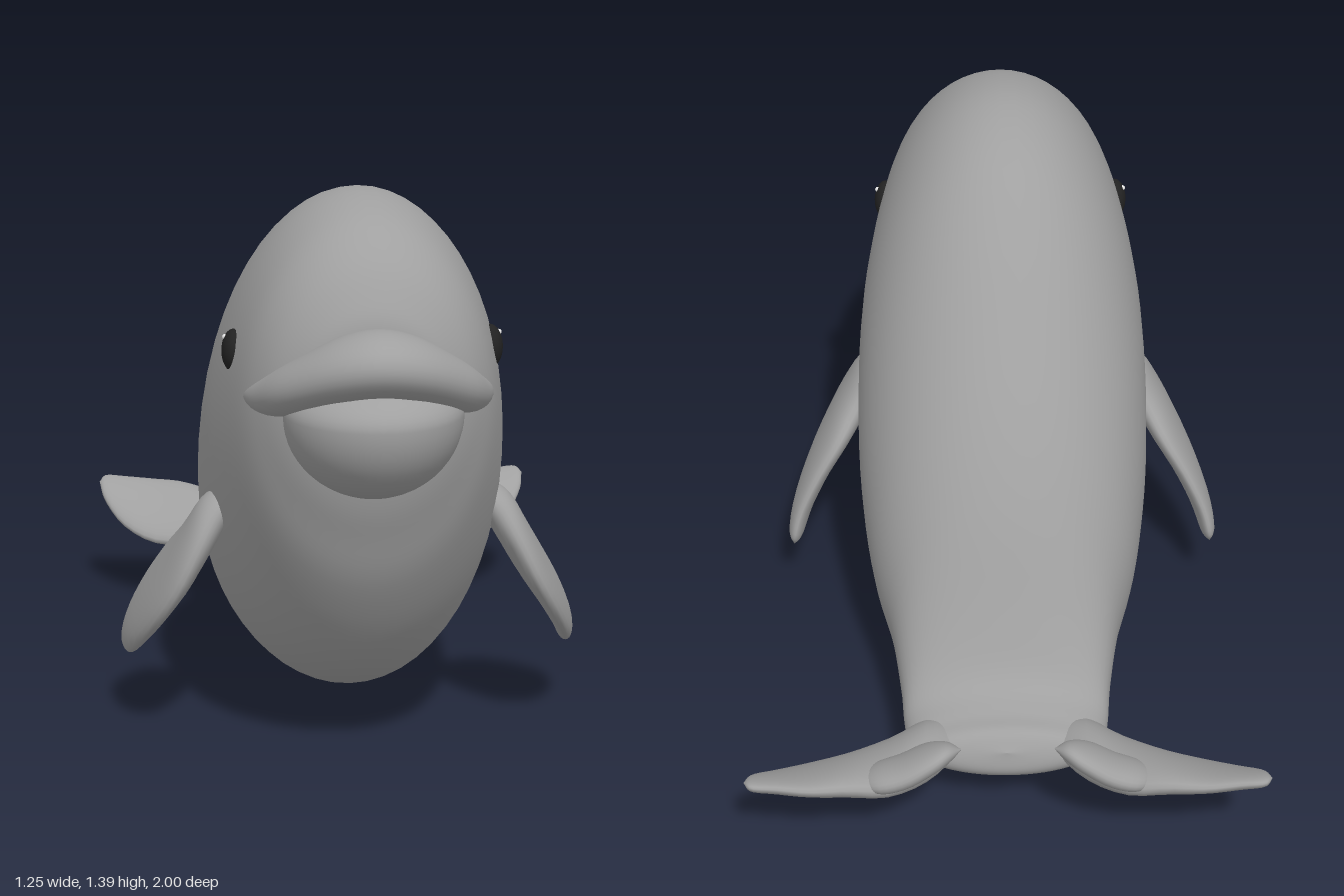
import * as THREE from 'three';

const skin = new THREE.MeshStandardMaterial({ color: 0xa0a0a0 });
skin.name = 'greySkin';
const black = new THREE.MeshStandardMaterial({ color: 0x222222 });
black.name = 'eyeBlack';
const white = new THREE.MeshStandardMaterial({ color: 0xf0f0f0 });
white.name = 'eyeGlint';

const V = (x, y, z) => new THREE.Vector3(x, y, z);

// Smooth closed loft. Each section is an oval: two opposite edge points,
// a half thickness, and the direction of that thickness.
function loft(name, sections, rows = 40, cols = 32) {
  const spline = f => new THREE.CatmullRomCurve3(sections.map(f), false, 'catmullrom', 0.5);
  const ca = spline(s => s.a), cb = spline(s => s.b);
  const cn = spline(s => s.n.clone().normalize().multiplyScalar(s.w));
  const pos = [], idx = [];
  for (let i = 0; i <= rows; i++) {
    const t = 0.5 - 0.5 * Math.cos(Math.PI * i / rows);
    const a = ca.getPoint(t), b = cb.getPoint(t), n = cn.getPoint(t);
    const c = a.clone().add(b).multiplyScalar(0.5);
    const h = a.clone().sub(c);
    for (let j = 0; j < cols; j++) {
      const u = 2 * Math.PI * j / cols;
      pos.push(...c.clone().addScaledVector(h, Math.cos(u)).addScaledVector(n, Math.sin(u)).toArray());
    }
  }
  for (let i = 0; i < rows; i++) {
    for (let j = 0; j < cols; j++) {
      const p = i * cols + j, q = i * cols + (j + 1) % cols;
      idx.push(p, q, p + cols, q, q + cols, p + cols);
    }
  }
  // Turn the faces outward if the enclosed volume comes out negative
  const at = k => V(pos[3 * k], pos[3 * k + 1], pos[3 * k + 2]);
  let volume = 0;
  for (let k = 0; k < idx.length; k += 3) volume += at(idx[k]).dot(at(idx[k + 1]).cross(at(idx[k + 2])));
  if (volume < 0) idx.reverse();
  const geo = new THREE.BufferGeometry();
  geo.setAttribute('position', new THREE.Float32BufferAttribute(pos, 3));
  geo.setIndex(idx);
  geo.computeVertexNormals();
  const mesh = new THREE.Mesh(geo, skin);
  mesh.name = name;
  return mesh;
}

// Fin from rows of [leading xyz, trailing xyz, half thickness], on side s
const fin = (name, rows, n, s) => loft(name, rows.map(r => ({
  a: V(s * r[0], r[1], r[2]), b: V(s * r[3], r[4], r[5]), w: r[6], n: V(s * n[0], n[1], n[2]),
})), 30, 24);

export function createModel() {
  const model = new THREE.Group();
  model.name = 'whale';

  // Body: back z, back y, belly z, belly y, half width, from face to tail
  model.add(loft('body', [
    [0.815, 1.0, 0.815, 1.0, 0],
    [0.82, 1.12, 0.80, 0.85, 0.13],
    [0.79, 1.2, 0.775, 0.72, 0.2],
    [0.72, 1.29, 0.74, 0.62, 0.255],
    [0.6, 1.362, 0.68, 0.48, 0.3],
    [0.4, 1.395, 0.55, 0.3, 0.34],
    [0.2, 1.345, 0.38, 0.165, 0.368],
    [0.03, 1.22, 0.15, 0.07, 0.375],
    [-0.15, 1.03, -0.05, 0.025, 0.365],
    [-0.3, 0.85, -0.25, 0.004, 0.335],
    [-0.42, 0.67, -0.42, 0.015, 0.288],
    [-0.53, 0.46, -0.57, 0.04, 0.262],
    [-0.61, 0.33, -0.68, 0.085, 0.252],
    [-0.69, 0.29, -0.75, 0.135, 0.235],
    [-0.75, 0.28, -0.79, 0.18, 0.17],
    [-0.785, 0.24, -0.785, 0.24, 0],
  ].map(([tz, ty, bz, by, w]) => ({ a: V(0, ty, tz), b: V(0, by, bz), w, n: V(1, 0, 0) })), 90, 56));

  // Upper lip: x, y, z, half height, half depth, outward direction; mirrored into an arch
  const half = [
    [0.285, 0.955, 0.59, 0, 0, 1, 0.3],
    [0.265, 0.95, 0.63, 0.025, 0.03, 1, 0.4],
    [0.225, 0.963, 0.7, 0.05, 0.06, 1, 0.7],
    [0.17, 1.0, 0.78, 0.066, 0.09, 0.6, 0.8],
    [0.09, 1.05, 0.85, 0.073, 0.11, 0.25, 1],
  ];
  const mirrored = half.map(([x, y, z, h, d, nx, nz]) => [-x, y, z, h, d, -nx, nz]).reverse();
  model.add(loft('upperLip', [...half, [0, 1.07, 0.88, 0.075, 0.117, 0, 1], ...mirrored].map(
    ([x, y, z, h, w, nx, nz]) => ({ a: V(x, y + h, z), b: V(x, y - h, z), w, n: V(nx, 0, nz) })), 60, 32));

  // Lower jaw: rounded chin with a shallower upper half
  const jawGeo = new THREE.SphereGeometry(1, 40, 28);
  const p = jawGeo.attributes.position;
  for (let i = 0; i < p.count; i++) {
    const y = p.getY(i);
    p.setXYZ(i, p.getX(i) * 0.21, y * (y > 0 ? 0.1 : 0.2), p.getZ(i) * 0.235);
  }
  jawGeo.computeVertexNormals();
  const jaw = new THREE.Mesh(jawGeo, skin);
  jaw.name = 'lowerJaw';
  jaw.position.set(0, 0.93, 0.74);
  model.add(jaw);

  for (const s of [1, -1]) {
    const side = s > 0 ? 'left' : 'right';

    model.add(fin(side + 'Flipper', [
      [0.29, 0.65, 0.39, 0.29, 0.65, 0.32, 0.02],
      [0.345, 0.6, 0.425, 0.335, 0.62, 0.29, 0.04],
      [0.39, 0.52, 0.458, 0.385, 0.54, 0.24, 0.042],
      [0.44, 0.42, 0.46, 0.435, 0.47, 0.17, 0.04],
      [0.49, 0.33, 0.41, 0.495, 0.38, 0.13, 0.034],
      [0.535, 0.245, 0.31, 0.54, 0.29, 0.105, 0.028],
      [0.56, 0.188, 0.2, 0.56, 0.22, 0.09, 0.02],
      [0.565, 0.18, 0.115, 0.565, 0.18, 0.115, 0],
    ], [0.9, 0.45, 0], s));

    model.add(fin(side + 'Fluke', [
      [0.08, 0.22, -0.7, 0.08, 0.22, -0.7, 0],
      [0.18, 0.19, -0.64, 0.18, 0.25, -0.84, 0.06],
      [0.28, 0.19, -0.695, 0.28, 0.28, -0.95, 0.05],
      [0.38, 0.19, -0.745, 0.38, 0.31, -0.985, 0.04],
      [0.48, 0.195, -0.78, 0.47, 0.32, -1.0, 0.03],
      [0.56, 0.23, -0.84, 0.55, 0.33, -1.0, 0.023],
      [0.61, 0.285, -0.91, 0.605, 0.335, -1.0, 0.016],
      [0.625, 0.325, -0.97, 0.625, 0.325, -0.97, 0],
    ], [0, 0.9, 0.43], s));

    // Small upturned lobe at the tail notch
    model.add(fin(side + 'FlukeLobe', [
      [0.37, 0.27, -0.9, 0.37, 0.27, -0.9, 0],
      [0.31, 0.26, -0.85, 0.32, 0.3, -0.97, 0.03],
      [0.25, 0.28, -0.845, 0.25, 0.33, -0.985, 0.035],
      [0.19, 0.31, -0.84, 0.18, 0.37, -0.975, 0.033],
      [0.14, 0.345, -0.87, 0.14, 0.385, -0.95, 0.022],
      [0.11, 0.37, -0.91, 0.11, 0.37, -0.91, 0],
    ], [0.3, 0.9, 0.3], s));

    const eye = new THREE.Mesh(new THREE.SphereGeometry(0.05, 24, 16), black);
    eye.name = side + 'Eye';
    eye.scale.set(0.6, 1.04, 1);
    eye.position.set(s * 0.303, 1.027, 0.512);
    model.add(eye);

    const glint = new THREE.Mesh(new THREE.SphereGeometry(0.007, 10, 8), white);
    glint.name = side + 'EyeGlint';
    glint.position.set(s * 0.324, 1.06, 0.51);
    model.add(glint);
  }
  return model;
}
